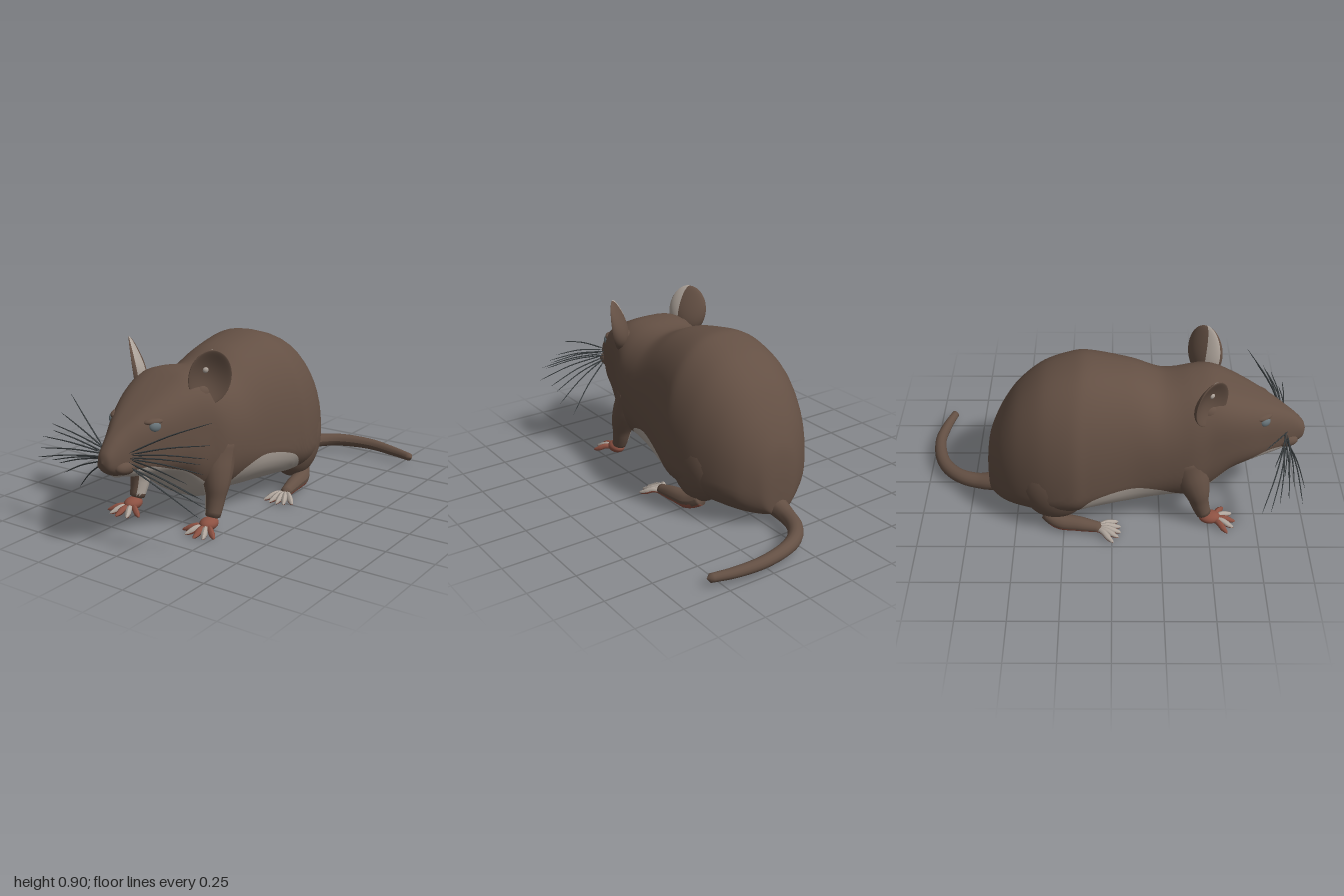
import * as THREE from 'three';

const mat = (name, color) => {
  const m = new THREE.MeshStandardMaterial({ color });
  m.name = name;
  return m;
};

export function createModel() {
  const fur = mat('brown fur', 0x645044);
  const pale = mat('pale fur', 0xafa59c);
  const pink = mat('pink skin', 0x8c5142);
  const whisker = mat('dark whisker', 0x363b3d);
  const eyeGrey = mat('grey eye', 0x69757a);

  const model = new THREE.Group();
  model.name = 'rodent';
  const animal = new THREE.Group();
  animal.name = 'animal';
  animal.position.x = -0.07;
  model.add(animal);

  const add = (name, geo, material, parent = animal) => {
    const m = new THREE.Mesh(geo, material);
    m.name = name;
    parent.add(m);
    return m;
  };
  const ellipsoid = (name, material, pos, radii, parent = animal) => {
    const m = add(name, new THREE.SphereGeometry(1, 28, 18), material, parent);
    m.position.set(...pos);
    m.scale.set(...radii);
    return m;
  };

  // Tube along a smooth path whose radius follows a list; ends close to a point
  const taper = (pts, radii, segs = 16, sides = 12) => {
    const curve = new THREE.CatmullRomCurve3(pts.map(p => new THREE.Vector3(...p)));
    const geo = new THREE.TubeGeometry(curve, segs, 1, sides);
    const pos = geo.attributes.position, c = new THREE.Vector3(), v = new THREE.Vector3();
    for (let i = 0; i <= segs; i++) {
      const t = i / segs;
      curve.getPointAt(t, c);
      const f = t * (radii.length - 1), k = Math.min(Math.floor(f), radii.length - 2);
      const r = (i === 0 || i === segs) ? 0.0004 : THREE.MathUtils.lerp(radii[k], radii[k + 1], f - k);
      for (let j = 0; j <= sides; j++) {
        const n = i * (sides + 1) + j;
        v.fromBufferAttribute(pos, n).sub(c).multiplyScalar(r).add(c);
        pos.setXYZ(n, v.x, v.y, v.z);
      }
    }
    geo.computeVertexNormals();
    return geo;
  };

  // Faces passing the test (normal, centre) take the second material
  const twoTone = (geo, test) => {
    const pos = geo.attributes.position, idx = geo.index.array, sets = [[], []];
    const tri = new THREE.Triangle(), n = new THREE.Vector3(), c = new THREE.Vector3();
    for (let i = 0; i < idx.length; i += 3) {
      const face = [idx[i], idx[i + 1], idx[i + 2]];
      tri.setFromAttributeAndIndices(pos, ...face);
      sets[test(tri.getNormal(n), tri.getMidpoint(c)) ? 1 : 0].push(...face);
    }
    geo.setIndex([...sets[0], ...sets[1]]);
    geo.addGroup(0, sets[0].length, 0);
    geo.addGroup(sets[0].length, sets[1].length, 1);
    return geo;
  };

  // Body and head: z, top, bottom, height of widest point, half width, belly line
  const sections = [
    [1.0, 0.445, 0.445, 0.445, 0, 0.445],
    [0.985, 0.49, 0.40, 0.44, 0.036, 0.40],
    [0.94, 0.54, 0.37, 0.435, 0.06, 0.37],
    [0.88, 0.585, 0.35, 0.435, 0.088, 0.39],
    [0.8, 0.635, 0.335, 0.46, 0.13, 0.397],
    [0.7, 0.69, 0.315, 0.48, 0.182, 0.365],
    [0.6, 0.738, 0.27, 0.5, 0.22, 0.325],
    [0.5, 0.777, 0.17, 0.48, 0.25, 0.25],
    [0.4, 0.78, 0.11, 0.42, 0.285, 0.16],
    [0.25, 0.765, 0.105, 0.38, 0.3, 0.26],
    [0.1, 0.824, 0.09, 0.34, 0.315, 0.3],
    [-0.1, 0.863, 0.08, 0.3, 0.358, 0.25],
    [-0.2, 0.855, 0.07, 0.28, 0.376, 0.14],
    [-0.35, 0.8, 0.05, 0.27, 0.348, 0.09],
    [-0.48, 0.692, 0.04, 0.26, 0.288, 0.085],
    [-0.57, 0.56, 0.04, 0.24, 0.218, 0.075],
    [-0.63, 0.42, 0.05, 0.22, 0.13, 0.055],
    [-0.65, 0.3, 0.07, 0.18, 0.075, 0.07],
    [-0.655, 0.18, 0.18, 0.18, 0, 0.18],
  ];
  const curveOf = (...cols) => new THREE.CatmullRomCurve3(
    sections.map(s => new THREE.Vector3(...cols.map(c => s[c]))), false, 'catmullrom', 0.45);
  const outline = curveOf(0, 1, 2), girth = curveOf(3, 4, 5);
  const rings = 108, upper = 36, lower = 18, around = upper + lower;
  const verts = [], brownIdx = [], paleIdx = [];
  const { clamp, smoothstep } = THREE.MathUtils;
  for (let i = 0; i <= rings; i++) {
    const o = outline.getPoint(i / rings), g = girth.getPoint(i / rings);
    // the head is boxier than the body and the nose
    const power = 0.87 - 0.22 * smoothstep(o.x, 0.32, 0.55) * (1 - smoothstep(o.x, 0.82, 0.96));
    const pw = a => Math.sign(a) * Math.pow(Math.abs(a), power);
    const up = Math.max(o.y - g.x, 0), down = Math.max(g.x - o.z, 0), wide = Math.max(g.y, 0);
    const rel = down > 1e-4 ? clamp((g.x - g.z) / down, 0, 1) : 1;
    const tb = Math.asin(Math.pow(rel, 1 / power));
    for (let j = 0; j < around; j++) {
      const t = j < upper
        ? -tb + (Math.PI + 2 * tb) * j / upper
        : Math.PI + tb + (Math.PI - 2 * tb) * (j - upper) / lower;
      const s = pw(Math.sin(t));
      verts.push(wide * pw(Math.cos(t)), g.x + s * (s > 0 ? up : down), o.x);
      if (i === rings) continue;
      const k = (j + 1) % around, a = i * around + j, b = i * around + k;
      (j < upper ? brownIdx : paleIdx).push(a, a + around, b, b, a + around, b + around);
    }
  }
  const bodyGeo = new THREE.BufferGeometry();
  bodyGeo.setAttribute('position', new THREE.Float32BufferAttribute(verts, 3));
  bodyGeo.setIndex([...brownIdx, ...paleIdx]);
  bodyGeo.addGroup(0, brownIdx.length, 0);
  bodyGeo.addGroup(brownIdx.length, paleIdx.length, 1);
  bodyGeo.computeVertexNormals();
  add('bodyAndHead', bodyGeo, [fur, pale]);
  ellipsoid('chin', pale, [0, 0.375, 0.885], [0.036, 0.028, 0.05]);

  // Tail sweeping to the animal's left
  add('tail', taper([[0, 0.1, -0.57], [0, 0.075, -0.68], [0.045, 0.07, -0.82], [0.15, 0.07, -0.92],
    [0.34, 0.065, -0.97], [0.5, 0.055, -0.955], [0.64, 0.05, -0.918]],
  [0.06, 0.042, 0.038, 0.035, 0.031, 0.027, 0.021], 56, 14), fur);

  // Toes fanned from a paw, pink below; angles open outward from straight ahead
  const toes = (name, s, x, z, angles, length, tops) => angles.forEach((deg, i) => {
    const a = THREE.MathUtils.degToRad(deg), dx = s * Math.sin(a), dz = Math.cos(a);
    const at = (d, y) => [s * x + dx * d, y, z + dz * d];
    const geo = taper([at(0.01, 0.03), at(length * 0.45, 0.034), at(length * 0.75, 0.02), at(length, 0.012)],
      [0.014, 0.015, 0.016, 0.006], 12, 8);
    add(name, twoTone(geo, n => n.y < -0.1), [tops[i % tops.length], pink]);
  });

  // Dished ear, thicker toward its root; a phi range gives a strip of its shell
  const earGeo = (grow, ...phi) => {
    const geo = new THREE.SphereGeometry(1, 40, 28, ...phi);
    const p = geo.attributes.position;
    for (let i = 0; i < p.count; i++) {
      const x = p.getX(i), y = p.getY(i), z = p.getZ(i);
      const r2 = Math.min(x * x + y * y, 1);
      const nz = z > 0 ? -0.03 * (1 - r2) + 0.012 * Math.sqrt(1 - r2) * r2 : 0.058 * z * (1 - 0.5 * y);
      p.setXYZ(i, x * 0.105 * grow, y * 0.137 * grow, nz * grow);
    }
    geo.computeVertexNormals();
    return geo;
  };

  // Whisker tips: sideways, height, depth
  const tips = [[0.43, 0.645, 0.73], [0.45, 0.555, 0.78], [0.47, 0.51, 0.83], [0.45, 0.485, 0.85],
    [0.49, 0.455, 0.88], [0.44, 0.42, 0.94], [0.49, 0.36, 0.93], [0.45, 0.335, 0.87],
    [0.44, 0.31, 0.83], [0.44, 0.25, 0.79], [0.37, 0.18, 0.76]];

  for (const s of [1, -1]) {
    const side = s > 0 ? 'left' : 'right';

    const ear = new THREE.Group();
    ear.name = side + 'Ear';
    ear.position.set(s * 0.237, 0.77, 0.485);
    ear.rotation.set(0, s * 0.88, -s * 0.15, 'ZYX');
    animal.add(ear);
    add('earShell', earGeo(1), fur, ear);
    add('earPaleStrip', earGeo(1.02, s > 0 ? Math.PI * 1.62 : Math.PI * 1.1, Math.PI * 0.28), pale, ear);
    ellipsoid('earSpot', pale, [-s * 0.02, 0.03, -0.023], [0.014, 0.014, 0.008], ear);
    ellipsoid(side + 'EarBase', fur, [s * 0.17, 0.68, 0.465], [0.05, 0.06, 0.07]);

    // Eye set under a soft brow
    const eye = ellipsoid(side + 'Eye', eyeGrey, [s * 0.127, 0.582, 0.768], [0.019, 0.026, 0.03]);
    eye.rotation.y = s * -0.5;
    const brow = ellipsoid(side + 'Brow', fur, [s * 0.112, 0.603, 0.757], [0.029, 0.018, 0.055]);
    brow.rotation.y = s * -0.5;
    ellipsoid(side + 'WhiskerPad', fur, [s * 0.05, 0.41, 0.89], [0.042, 0.038, 0.07]);
    ellipsoid(side + 'Nostril', pink, [s * 0.026, 0.415, 0.974], [0.011, 0.009, 0.009]);

    // Front leg, pale on the inside, and paw
    const legGeo = taper([[s * 0.15, 0.5, 0.34], [s * 0.188, 0.36, 0.385], [s * 0.232, 0.22, 0.435],
      [s * 0.238, 0.12, 0.46], [s * 0.24, 0.05, 0.485]], [0.08, 0.115, 0.088, 0.052, 0.036], 24, 18);
    add(side + 'FrontLeg', twoTone(legGeo, (n, c) => n.x * s < -0.55 && c.y > 0.085), [fur, pale]);
    ellipsoid(side + 'FrontPaw', pink, [s * 0.24, 0.042, 0.51], [0.043, 0.032, 0.056]);
    toes(side + 'FrontToe', s, 0.24, 0.525, [-58, -28, 2, 26, 52], 0.122, [pink, pale]);

    // Hind leg and foot with a pink sole
    ellipsoid(side + 'Haunch', fur, [s * 0.235, 0.28, -0.29], [0.123, 0.225, 0.185]);
    const footGeo = taper([[s * 0.25, 0.095, -0.35], [s * 0.285, 0.058, -0.28], [s * 0.305, 0.05, -0.17],
      [s * 0.32, 0.036, -0.05]], [0.04, 0.045, 0.038, 0.026], 20, 16);
    add(side + 'HindFoot', twoTone(footGeo, n => n.y < -0.35), [fur, pink]);
    toes(side + 'HindToe', s, 0.31, -0.085, [-28, -9, 9, 26, 46], 0.135, [pale]);

    tips.forEach(([x, y, z], i) => {
      const root = [s * 0.075, 0.465 - 0.007 * (i - 2), 0.9 - 0.008 * (i % 3)];
      const mid = [s * (x + 0.075) / 2, (y + root[1]) / 2 + 0.012, (z + root[2]) / 2 + 0.01];
      add(side + 'Whisker', taper([root, mid, [s * x, y, z]], [0.004, 0.0035, 0.002], 8, 5), whisker);
    });
  }
  return model;
}
